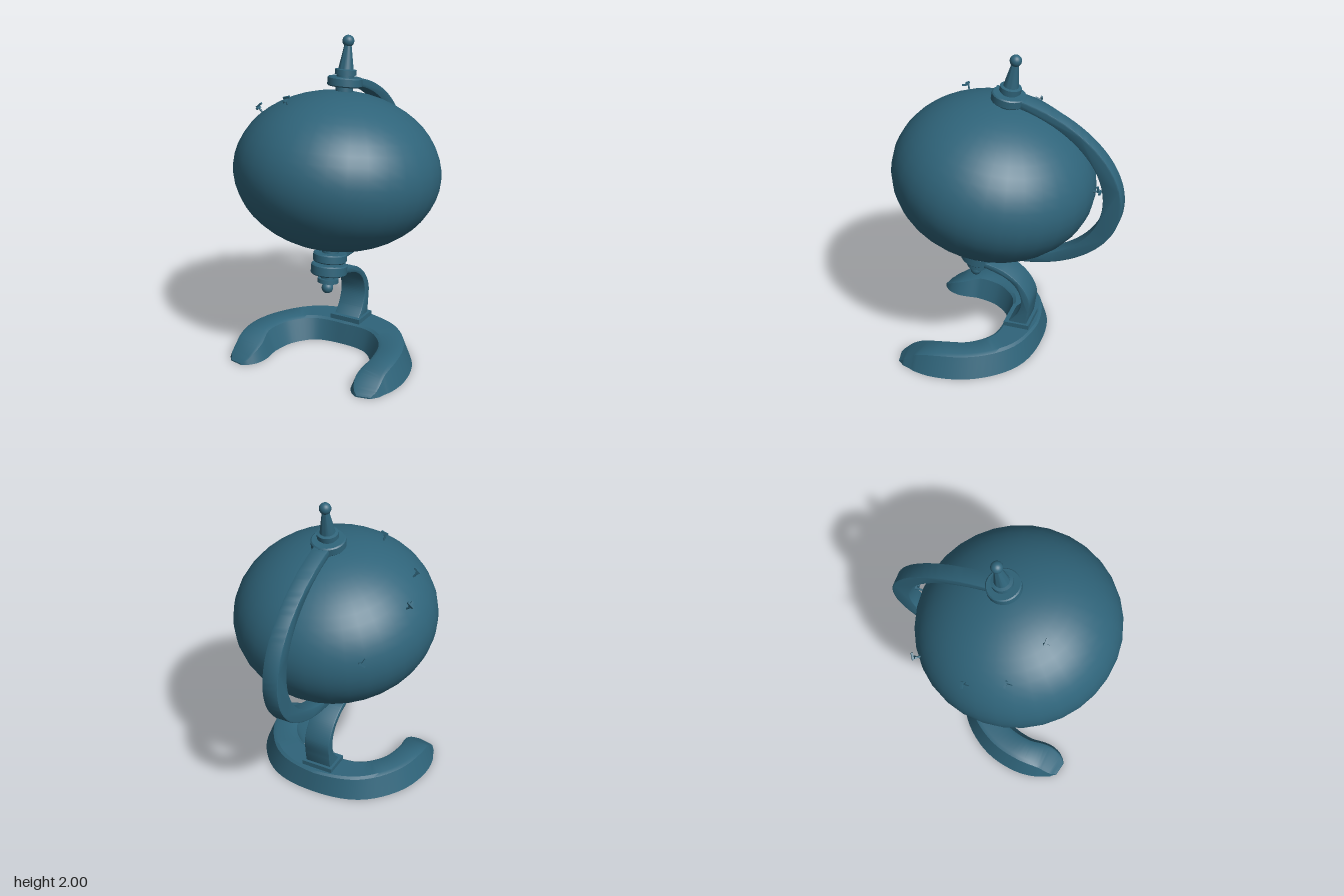
import * as THREE from 'three';
import { toCreasedNormals } from 'three/addons/utils/BufferGeometryUtils.js';

const material = new THREE.MeshStandardMaterial({ color: 0x2f647a });
const TILT = THREE.MathUtils.degToRad(10);
const CENTRE = new THREE.Vector3(0, 1.195, 0.095);
const A = 0.63, B = 0.485; // equatorial and polar radius of the globe

function add(parent, name, geometry) {
  const mesh = new THREE.Mesh(geometry, material);
  mesh.name = name;
  parent.add(mesh);
  return mesh;
}

const v2 = (list) => list.map(([x, y]) => new THREE.Vector2(x, y));
const crease = (geometry, angle = 0.6) => toCreasedNormals(geometry, angle);

// Turned part: [radius, height] pairs listed from bottom to top
const turned = (profile) => crease(new THREE.LatheGeometry(v2(profile), 32));

// Side outline in (z, y), extruded across x with a small bevel
function sidePlate(shape, width) {
  const bevel = 0.008;
  const geometry = new THREE.ExtrudeGeometry(shape, {
    depth: width - 2 * bevel, curveSegments: 40, bevelSize: bevel,
    bevelThickness: bevel, bevelOffset: -bevel, bevelSegments: 2,
  });
  geometry.translate(0, 0, -width / 2 + bevel).rotateY(-Math.PI / 2);
  return crease(geometry);
}

// Horseshoe foot: a trapezoid section swept along a curve, sinking at the toes
function footGeometry() {
  // x, half width, z
  const half = [[0.24, 0.132, -0.045], [0.395, 0.13, 0.12], [0.447, 0.128, 0.32],
    [0.432, 0.118, 0.47], [0.442, 0.085, 0.55], [0.45, 0.045, 0.587]];
  const mirrored = half.map(([x, w, z]) => [-x, w, z]).reverse();
  const curve = new THREE.CatmullRomCurve3(
    [...mirrored, [0, 0.132, -0.09], ...half].map((p) => new THREE.Vector3(...p)));
  const positions = [], index = [], steps = 72, n = 6;
  for (let i = 0; i <= steps; i++) {
    const p = curve.getPoint(i / steps), t = curve.getTangent(i / steps);
    const length = Math.hypot(t.x, t.z), nx = t.z / length, nz = -t.x / length;
    const fall = THREE.MathUtils.clamp((p.z - 0.25) / 0.34, 0, 1);
    const h = 0.005 + 0.14 * (1 - fall ** 2.2), w = p.y;
    const inset = Math.min((0.03 + 0.04 * Math.min(1, Math.abs(p.x) / 0.4)) * h / 0.145, 0.6 * w);
    const edge = [[w, 0], [w - 0.75 * inset, 0.92 * h], [w - inset - 0.006, h]];
    const section = [...edge, ...edge.map(([d, y]) => [-d, y]).reverse()];
    for (const [d, y] of section) positions.push(p.x + nx * d, y, p.z + nz * d);
    if (i === steps) break;
    for (let j = 0; j < n; j++) {
      const a = i * n + j, b = i * n + (j + 1) % n;
      index.push(a, b, a + n, b, b + n, a + n);
    }
  }
  for (let j = 1; j < n - 1; j++) {
    const e = steps * n;
    index.push(0, j + 1, j, e, e + j, e + j + 1);
  }
  const geometry = new THREE.BufferGeometry();
  geometry.setAttribute('position', new THREE.Float32BufferAttribute(positions, 3));
  geometry.setIndex(index);
  return crease(geometry, 0.5);
}

// Small marker standing on the globe: stem, flag and prong
function marker() {
  const group = new THREE.Group();
  group.name = 'marker';
  add(group, 'markerStem', new THREE.CylinderGeometry(0.006, 0.006, 0.07, 8)).position.y = 0.015;
  add(group, 'markerFlag', new THREE.BoxGeometry(0.045, 0.012, 0.012)).position.set(0.012, 0.044, 0);
  add(group, 'markerProng', new THREE.BoxGeometry(0.012, 0.012, 0.04)).position.set(0.008, 0.032, 0.018);
  return group;
}

export function createModel() {
  const model = new THREE.Group();
  model.name = 'deskGlobe';

  // Foot and curved stand
  add(model, 'foot', footGeometry());
  add(model, 'footPad', new THREE.BoxGeometry(0.21, 0.04, 0.165)).position.set(0, 0.155, -0.08);
  const stand = new THREE.Shape();
  stand.moveTo(0.2, 0.6);
  stand.splineThru(v2([[0.1, 0.577], [0, 0.545], [-0.1, 0.468], [-0.16, 0.36], [-0.155, 0.25], [-0.14, 0.16]]));
  stand.lineTo(-0.01, 0.16);
  stand.splineThru(v2([[-0.075, 0.235], [-0.107, 0.33], [-0.077, 0.43], [0, 0.5], [0.1, 0.538], [0.2, 0.565]]));
  stand.closePath();
  add(model, 'standArm', sidePlate(stand, 0.176));

  // Everything on the tilted axis
  const tilted = new THREE.Group();
  tilted.name = 'tiltedAssembly';
  tilted.position.copy(CENTRE);
  tilted.rotation.x = -TILT;
  model.add(tilted);

  const globe = new THREE.SphereGeometry(1, 32, 24);
  globe.scale(A, B, A);
  add(tilted, 'globe', globe);

  // Half-ellipse meridian arm, thicker at the back
  const arm = new THREE.Shape();
  arm.moveTo(0, 0.565);
  arm.absellipse(0, 0, 0.817, 0.565, Math.PI / 2, Math.PI * 1.5, false);
  arm.lineTo(0, -0.515);
  arm.absellipse(0, 0, 0.7, 0.515, Math.PI * 1.5, Math.PI / 2, true);
  arm.closePath();
  add(tilted, 'meridianArm', sidePlate(arm, 0.1));

  // Collars and finials
  add(tilted, 'topCollar', turned([[0, 0.46], [0.052, 0.46], [0.052, 0.512], [0.098, 0.512],
    [0.105, 0.519], [0.105, 0.561], [0.098, 0.568], [0.052, 0.568], [0.052, 0.582],
    [0.065, 0.582], [0.065, 0.612], [0.046, 0.616], [0.022, 0.755], [0, 0.755]]));
  add(tilted, 'bottomCollar', turned([[0, -0.725], [0.022, -0.725], [0.03, -0.702], [0.065, -0.702],
    [0.065, -0.676], [0.045, -0.676], [0.045, -0.648], [0.105, -0.648], [0.112, -0.641],
    [0.112, -0.589], [0.105, -0.582], [0.05, -0.582], [0.05, -0.568], [0.098, -0.568],
    [0.105, -0.561], [0.105, -0.519], [0.098, -0.512], [0.052, -0.512], [0.052, -0.46], [0, -0.46]]));
  for (const [name, y] of [['topKnob', 0.782], ['bottomKnob', -0.737]]) {
    add(tilted, name, new THREE.SphereGeometry(0.036, 20, 14)).position.y = y;
  }

  // Markers, dropped onto the globe's surface and aligned with its normal
  const spots = [[-0.21, 1.65, 0.33], [-0.475, 1.53, 0.2], [-0.55, 1.45, -0.03],
    [-0.41, 1.23, -0.37], [0, 1.185, -0.55]];
  for (const spot of spots) {
    const p = new THREE.Vector3(...spot).sub(CENTRE).applyAxisAngle(new THREE.Vector3(1, 0, 0), TILT);
    p.divideScalar(Math.hypot(p.x / A, p.y / B, p.z / A));
    const normal = new THREE.Vector3(p.x / A ** 2, p.y / B ** 2, p.z / A ** 2).normalize();
    const pin = marker();
    pin.position.copy(p);
    pin.quaternion.setFromUnitVectors(new THREE.Vector3(0, 1, 0), normal);
    tilted.add(pin);
  }
  return model;
}
